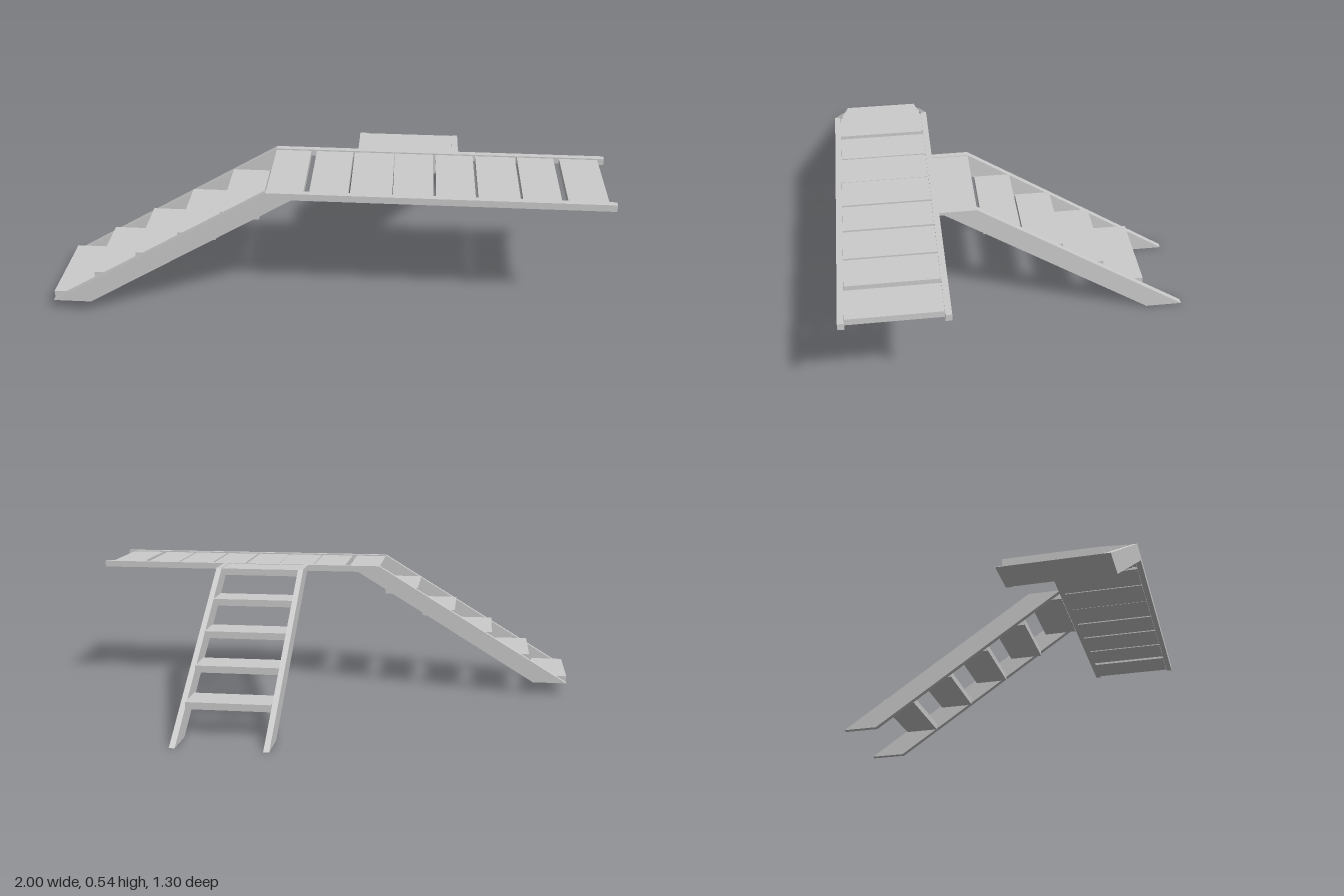
import * as THREE from 'three';

const material = new THREE.MeshStandardMaterial({ color: 0xcccccc, flatShading: true });
const THICK = 0.022; // side beam thickness

// Side beam: outline in the XY plane, extruded along +z
function beamGeometry(points) {
  const shape = new THREE.Shape(points.map(([x, y]) => new THREE.Vector2(x, y)));
  return new THREE.ExtrudeGeometry(shape, { depth: THICK, bevelEnabled: false });
}

// Board between two corners
function board(name, [x0, y0, z0], [x1, y1, z1]) {
  const mesh = new THREE.Mesh(new THREE.BoxGeometry(x1 - x0, y1 - y0, z1 - z0), material);
  mesh.position.set((x0 + x1) / 2, (y0 + y1) / 2, (z0 + z1) / 2);
  mesh.name = name;
  return mesh;
}

// Raised walkway with its own stair on the right
function createWalkway() {
  const group = new THREE.Group();
  group.name = 'walkway';
  const beam = beamGeometry([
    [-1, 0.052], [-0.86, 0.052], [-0.11, 0.51], [1, 0.51], [1, 0.535], [-0.2, 0.535],
  ]);
  for (const [name, z] of [['walkwayBackBeam', 0.284], ['walkwayFrontBeam', 0.626]]) {
    const mesh = new THREE.Mesh(beam, material);
    mesh.name = name;
    mesh.position.z = z;
    group.add(mesh);
  }
  const z0 = 0.306, z1 = 0.626;
  for (let i = 0; i < 5; i++) {
    const x = -1 + i * 0.159, y = 0.052 + i * 0.091;
    group.add(board('walkwayTread', [x, y, z0], [x + 0.137, y + 0.026, z1]));
  }
  // Deck planks with slightly uneven gaps
  const planks = [
    [-0.2, -0.07], [-0.05, 0.085], [0.091, 0.237], [0.239, 0.379],
    [0.388, 0.524], [0.533, 0.677], [0.685, 0.817], [0.838, 0.976],
  ];
  for (const [x0, x1] of planks) {
    group.add(board('deckPlank', [x0, 0.506, z0], [x1, 0.53, z1]));
  }
  return group;
}

// Stair descending to the back
function createBackStair() {
  const group = new THREE.Group();
  group.name = 'backStair';
  // Outline runs along -z, then is turned so its local x becomes -z
  const beam = beamGeometry([
    [-0.284, 0.535], [0.51, 0], [0.648, 0], [-0.148, 0.535],
  ]);
  beam.rotateY(Math.PI / 2);
  for (const [name, x] of [['stairRightBeam', 0.103], ['stairLeftBeam', 0.449]]) {
    const mesh = new THREE.Mesh(beam, material);
    mesh.name = name;
    mesh.position.x = x;
    group.add(mesh);
  }
  for (let i = 0; i < 5; i++) {
    const z = -0.49 + i * 0.1595, y = 0.102 + i * 0.101;
    group.add(board('stairTread', [0.125, y, z], [0.449, y + 0.027, z + 0.136]));
  }
  return group;
}

export function createModel() {
  const model = new THREE.Group();
  model.name = 'walkwayWithStairs';
  model.add(createWalkway(), createBackStair());
  return model;
}
